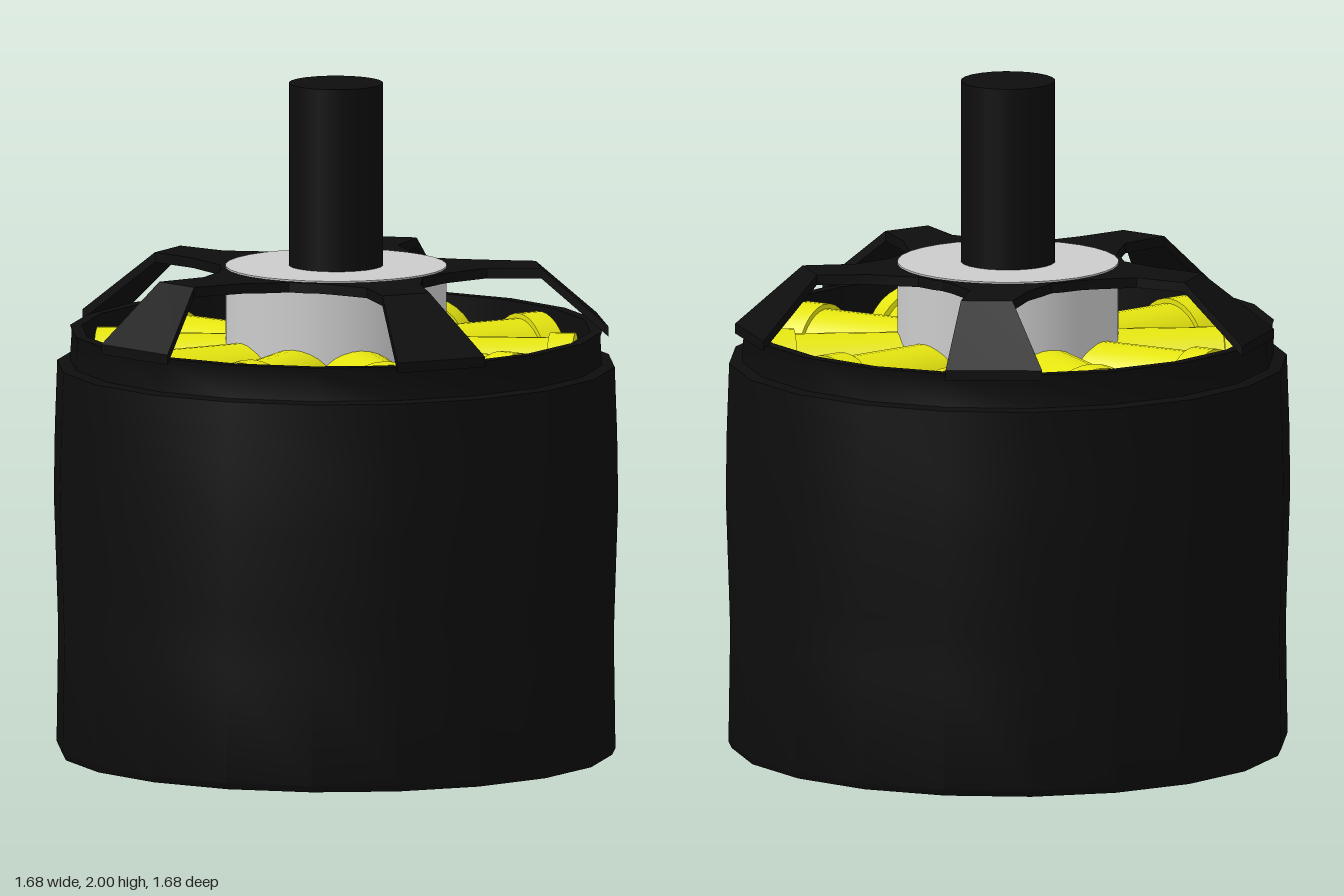
import * as THREE from 'three';
import { toCreasedNormals } from 'three/addons/utils/BufferGeometryUtils.js';

const black = new THREE.MeshStandardMaterial({ color: 0x0d0d0d });
const yellow = new THREE.MeshStandardMaterial({ color: 0xe4e410 });
const grey = new THREE.MeshStandardMaterial({ color: 0xcccccc });

function part(name, geometry, material, parent) {
  const mesh = new THREE.Mesh(geometry, material);
  mesh.name = name;
  parent.add(mesh);
  return mesh;
}

// Turned part from [radius, height] pairs, with sharp profile corners kept
function turned(points, sides) {
  const profile = points.map(([r, y]) => new THREE.Vector2(r, y));
  return toCreasedNormals(new THREE.LatheGeometry(profile, sides), 0.5);
}

// Bent spoke lofted along its length; rows are [x1, z1, x2, z2, top height]
function spokeGeometry(rows, thickness) {
  const pos = [], index = [];
  for (const [x1, z1, x2, z2, y] of rows) {
    pos.push(x1, y, z1, x2, y, z2, x2, y - thickness, z2, x1, y - thickness, z1);
  }
  for (let i = 0; i < rows.length - 1; i++) {
    for (let j = 0; j < 4; j++) {
      const a = i * 4 + j, b = i * 4 + (j + 1) % 4;
      index.push(a, b, a + 4, b, b + 4, a + 4);
    }
  }
  const e = (rows.length - 1) * 4;
  index.push(0, 2, 1, 0, 3, 2, e, e + 1, e + 2, e, e + 2, e + 3);
  const g = new THREE.BufferGeometry();
  g.setAttribute('position', new THREE.Float32BufferAttribute(pos, 3));
  g.setIndex(index);
  return toCreasedNormals(g, 0.5);
}

export function createModel() {
  const model = new THREE.Group();
  model.name = 'motor';

  // Slightly bulging can with a stepped rim, open at the top
  part('can', turned([
    [0, 0], [0.82, 0], [0.83, 0.02], [0.825, 0.36], [0.83, 0.52], [0.838, 0.76],
    [0.835, 0.96], [0.828, 1.16], [0.79, 1.165], [0.785, 1.25], [0.79, 1.265],
    [0.755, 1.265], [0.75, 0.1], [0, 0.1],
  ], 20), black, model);

  // Stator core carrying the coils
  part('statorCore', new THREE.CylinderGeometry(0.32, 0.32, 1.12, 32).translate(0, 0.66, 0), black, model);

  // Grey bearing hub and the shaft through it
  part('hub', new THREE.CylinderGeometry(0.328, 0.328, 0.255, 32).translate(0, 1.3275, 0), grey, model);
  part('shaft', new THREE.CylinderGeometry(0.14, 0.14, 0.7, 24).translate(0, 1.65, 0), black, model);

  // Ten radial coils, each with a wider end cap
  const coil = turned([[0, 0.28], [0.14, 0.28], [0.14, 0.635], [0.155, 0.635], [0.155, 0.71], [0, 0.71]], 32);
  coil.rotateZ(-Math.PI / 2);
  for (let i = 0; i < 10; i++) {
    const mesh = part('coil', coil, yellow, model);
    mesh.position.y = 1.105;
    mesh.rotation.y = -i * Math.PI / 5;
  }

  // Spider: collar round the hub and five swept, folded spokes
  const spider = new THREE.Group();
  spider.name = 'spider';
  model.add(spider);
  part('collar', turned([[0.32, 1.42], [0.345, 1.42], [0.345, 1.45], [0.32, 1.45]], 32), black, spider);
  const spoke = spokeGeometry([
    [0.27, -0.2, 0.29, 0.16, 1.45],
    [0.33, -0.185, 0.35, 0.09, 1.45],
    [0.42, -0.16, 0.45, 0.01, 1.452],
    [0.58, -0.15, 0.61, 0.0, 1.452],
    [0.75, -0.28, 0.81, 0.0, 1.28],
  ], 0.03);
  for (let i = 0; i < 5; i++) {
    part('spoke', spoke, black, spider).rotation.y = -i * Math.PI * 2 / 5;
  }

  return model;
}
